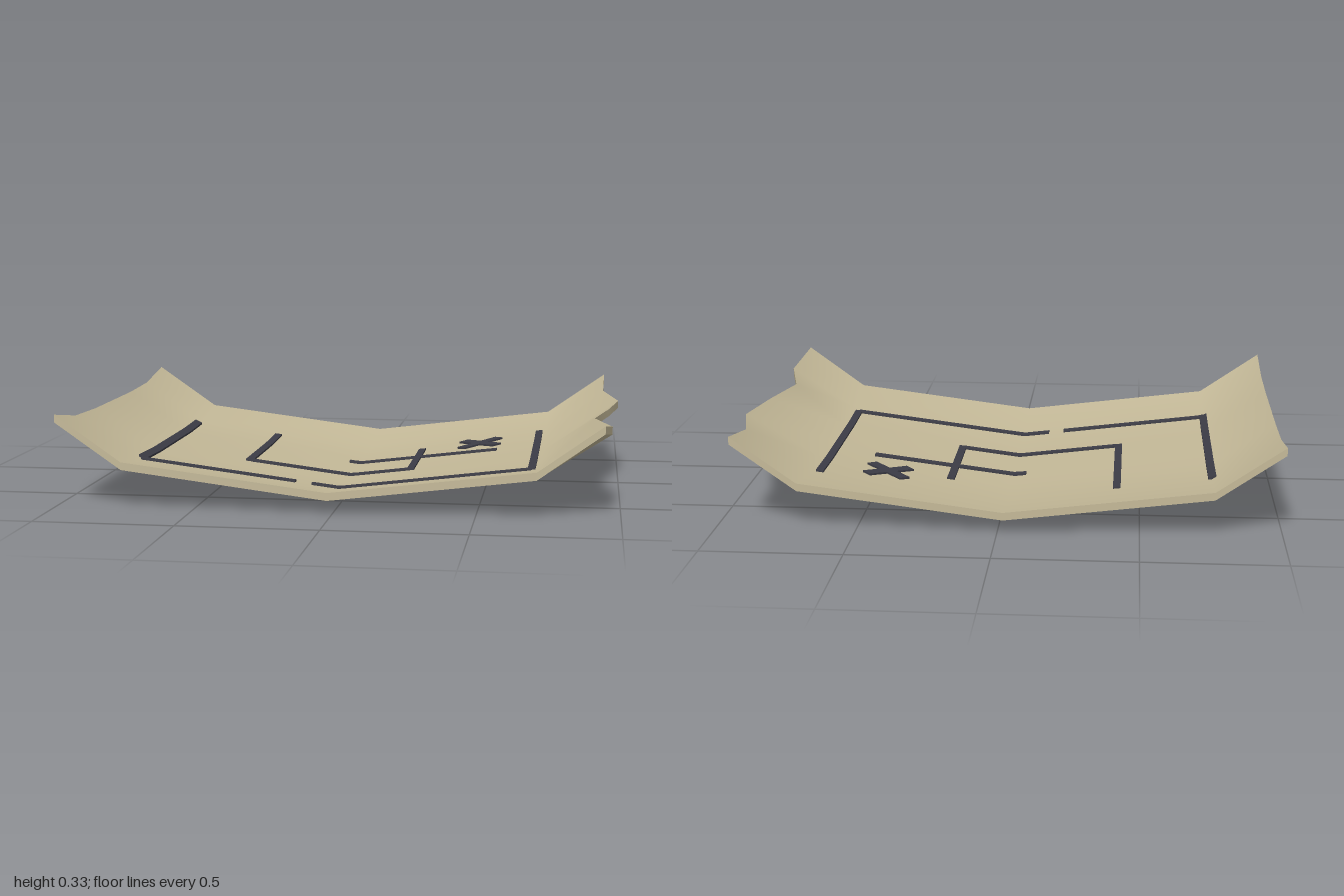
import * as THREE from 'three';

// Sheet profile: height across x and extra lift toward the front and back edges
const COLS = [-1, -0.76, -0.02, 0.71, 0.945];
const RISE = [0.29, 0.124, 0.033, 0.124, 0.29];
const ROWS = [-0.735, -0.49, -0.245, 0, 0.245, 0.49, 0.735];
const LIFT = [0.046, 0.0075, 0, 0, 0, 0.0075, 0.046];
const TORN = [0.945, 0.94, 0.998, 0.958, 0.905, 0.967, 0.94]; // ragged left edge, per row
const THICK = 0.028;

function lerpTable(xs, ys, x) {
  let i = 0;
  while (i < xs.length - 2 && x > xs[i + 1]) i++;
  return ys[i] + (ys[i + 1] - ys[i]) * (x - xs[i]) / (xs[i + 1] - xs[i]);
}
const surfaceY = (x, z) => lerpTable(COLS, RISE, x) + lerpTable(ROWS, LIFT, z);

// Move every vertex of a geometry by a rule
function reshape(geometry, rule) {
  const p = geometry.attributes.position;
  const v = new THREE.Vector3();
  for (let i = 0; i < p.count; i++) {
    rule(v.fromBufferAttribute(p, i));
    p.setXYZ(i, v.x, v.y, v.z);
  }
  geometry.computeVertexNormals();
  return geometry;
}

export function createModel() {
  const group = new THREE.Group();
  group.name = 'curledMap';
  const paper = new THREE.MeshStandardMaterial({ color: 0xc4b998 });
  const ink = new THREE.MeshStandardMaterial({ color: 0x3c3c46 });

  // Curled paper sheet: a subdivided slab bent onto the profile
  const slab = reshape(new THREE.BoxGeometry(4, 1, 6, 4, 1, 6), (v) => {
    const col = Math.round(v.x + 2), row = Math.round(v.z + 3);
    const top = v.y > 0;
    v.set(col === 4 ? TORN[row] : COLS[col], RISE[col] + LIFT[row] - (top ? 0 : THICK), ROWS[row]);
  });
  const sheet = new THREE.Mesh(slab, paper);
  sheet.name = 'sheet';
  group.add(sheet);

  // Ink stroke draped over the sheet
  function stroke(name, cx, cz, length, width, angle) {
    const g = new THREE.BoxGeometry(length, 0.012, width, 24, 1, 1);
    g.rotateY(angle);
    g.translate(cx, 0, cz);
    reshape(g, (v) => { v.y += surfaceY(v.x, v.z) + 0.001; });
    const mesh = new THREE.Mesh(g, ink);
    mesh.name = name;
    group.add(mesh);
  }
  const alongX = (name, x0, x1, z) => stroke(name, (x0 + x1) / 2, z, x1 - x0, 0.03, 0);
  const alongZ = (name, x, z0, z1) => stroke(name, x, (z0 + z1) / 2, z1 - z0, 0.028, Math.PI / 2);

  // Outer wall lines with a gap at the front
  alongZ('outerRightLine', -0.762, -0.445, 0.44);
  alongX('outerFrontLineA', -0.765, -0.183, 0.437);
  alongX('outerFrontLineB', -0.122, 0.68, 0.437);
  alongZ('outerLeftLine', 0.682, -0.445, 0.44);

  // Inner route lines
  alongZ('innerRightLine', -0.416, -0.445, 0.155);
  alongX('innerFrontLine', -0.41, 0.21, 0.143);
  alongZ('innerLeftLine', 0.211, -0.297, 0.155);
  alongX('crossLine', -0.063, 0.525, -0.121);

  // X mark
  for (const s of [-1, 1]) stroke('xMark', 0.446, -0.31, 0.205, 0.045, s * Math.PI / 4);

  return group;
}
